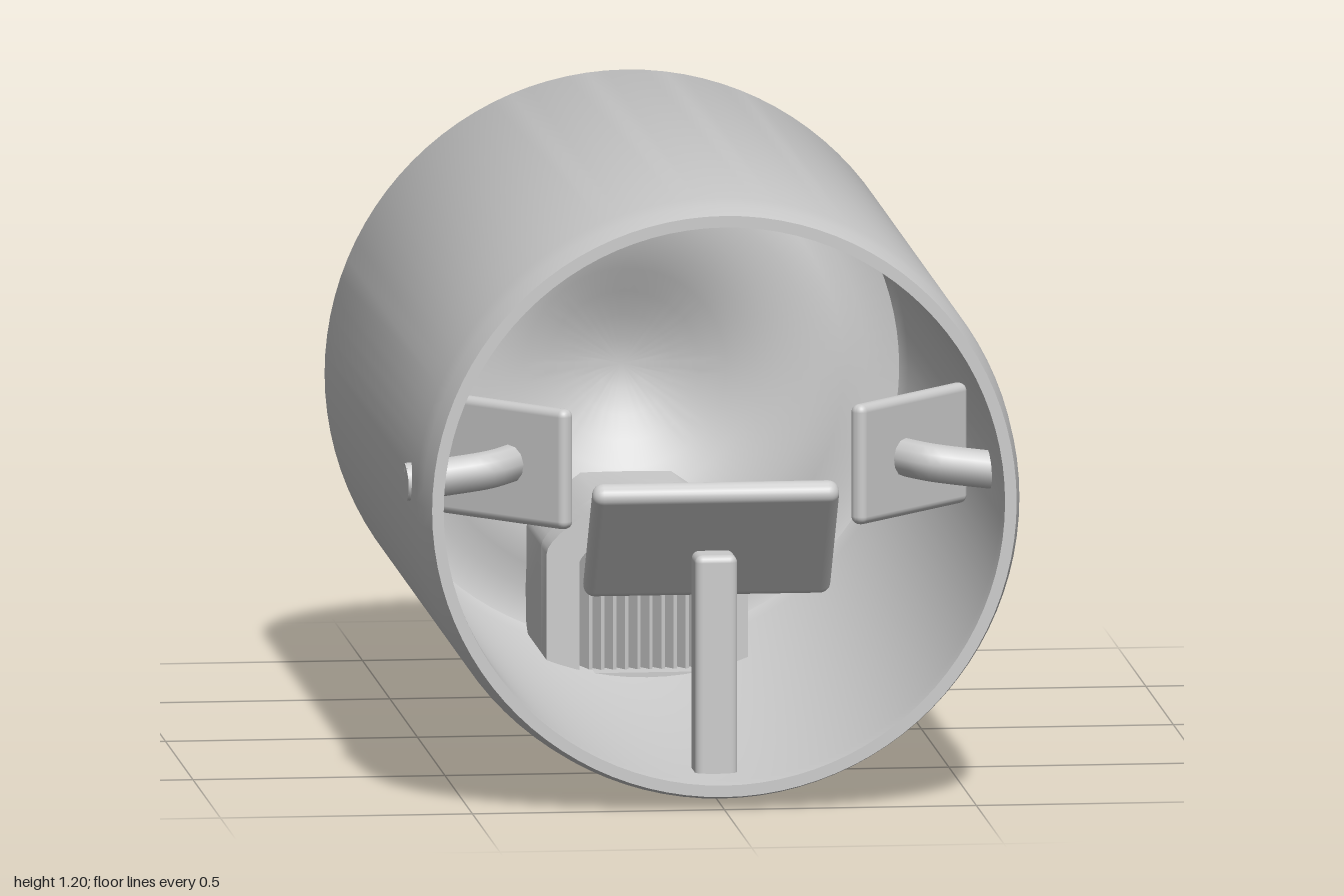
import * as THREE from 'three';
import { toCreasedNormals } from 'three/addons/utils/BufferGeometryUtils.js';
import { RoundedBoxGeometry } from 'three/addons/geometries/RoundedBoxGeometry.js';

const CY = 0.605; // height of the drum axis
const mat = new THREE.MeshStandardMaterial({ color: 0xcccccc, side: THREE.DoubleSide });

function mesh(name, geometry, x = 0, y = 0, z = 0) {
  const m = new THREE.Mesh(geometry, mat);
  m.name = name;
  m.position.set(x, y, z);
  return m;
}

// Outline of the duct: square foot, chamfered shoulders
function archPath(PathType, w, bottom, shoulder, top, topW) {
  const p = new PathType();
  p.moveTo(-w, bottom);
  p.lineTo(w, bottom);
  p.lineTo(w, shoulder);
  p.quadraticCurveTo(w, shoulder + (top - shoulder) * 0.3, topW, top);
  p.lineTo(-topW, top);
  p.quadraticCurveTo(-w, shoulder + (top - shoulder) * 0.3, -w, shoulder);
  p.closePath();
  return p;
}

function extrude(shape, z0, z1) {
  const g = new THREE.ExtrudeGeometry(shape, { depth: z1 - z0, bevelEnabled: false, curveSegments: 6 });
  g.translate(0, 0, z0);
  return toCreasedNormals(g, 0.6);
}

export function createModel() {
  const root = new THREE.Group();

  // Drum: domed back, rounded back rim, tapered mouth, hollow inside
  const dome = [[0, -0.905], [0.05, -0.9], [0.1, -0.884], [0.15, -0.862], [0.2, -0.838],
    [0.25, -0.817], [0.31, -0.803], [0.37, -0.798], [0.43, -0.802], [0.475, -0.818], [0.505, -0.832]];
  const outer = [...dome, [0.53, -0.835], [0.548, -0.825], [0.55, -0.805], [0.595, -0.805],
    [0.597, -0.8], [0.597, 0.87], [0.592, 0.94], [0.58, 1]];
  const inner = [[0.557, 1], [0.555, 0.95], [0.555, -0.74], [0.54, -0.77],
    ...dome.slice(0, 10).reverse().map(([r, z]) => [r, z + 0.035])];
  const profile = [...outer, ...inner].map(([r, z]) => new THREE.Vector2(r, z));
  const drumGeo = toCreasedNormals(new THREE.LatheGeometry(profile, 96), 0.6);
  drumGeo.rotateX(Math.PI / 2);
  root.add(mesh('drum', drumGeo, 0, CY, 0));

  // Duct through the lower back wall, with a grille on its inner mouth
  const duct = new THREE.Group();
  duct.name = 'duct';
  const arch = () => archPath(THREE.Shape, 0.2, 0.04, 0.3, 0.4, 0.09);
  const mouth = arch();
  mouth.holes.push(archPath(THREE.Path, 0.135, 0.06, 0.28, 0.312, 0.11));
  duct.add(mesh('ductMouth', extrude(mouth, -0.5, -0.4)));
  duct.add(mesh('ductBody', extrude(arch(), -1, -0.5)));
  for (let i = -5; i <= 5; i++) {
    const slat = mesh('grilleSlat', new THREE.BoxGeometry(0.008, 0.25, 0.05), i * 0.024, 0.185, -0.465);
    slat.rotation.y = 0.5;
    duct.add(slat);
  }
  root.add(duct);

  // Lower paddle: wide plate leaning forward on an upright strut
  const lower = new THREE.Group();
  lower.name = 'lowerPaddle';
  const plate = mesh('lowerPlate', new RoundedBoxGeometry(0.49, 0.3, 0.05, 3, 0.022), 0, 0.505, 0.76);
  plate.rotation.x = Math.atan2(0.2, 0.25);
  lower.add(plate);
  lower.add(mesh('lowerStrut', new RoundedBoxGeometry(0.084, 0.485, 0.085, 3, 0.015), 0, 0.2425, 0.818));
  root.add(lower);

  // Side paddles: slanted plates held by bent arms from the side walls
  for (const s of [1, -1]) {
    const side = new THREE.Group();
    side.name = s > 0 ? 'leftPaddle' : 'rightPaddle';
    const p = mesh('sidePlate', new RoundedBoxGeometry(0.37, 0.24, 0.035, 3, 0.016), s * 0.405, 0.65, 0.645);
    p.rotation.y = s * Math.atan2(0.3, 0.26);
    side.add(p);
    const path = new THREE.CatmullRomCurve3([[0.602, 0.625, 0.745], [0.52, 0.635, 0.745],
      [0.44, 0.645, 0.735], [0.38, 0.65, 0.67]].map(([x, y, z]) => new THREE.Vector3(s * x, y, z)));
    side.add(mesh('sideArm', new THREE.TubeGeometry(path, 16, 0.038, 12)));
    // Closed arm end showing on the outer wall
    const cap = mesh('armEnd', new THREE.CylinderGeometry(0.038, 0.038, 0.02, 12), s * 0.593, 0.626, 0.745);
    cap.rotation.z = Math.PI / 2;
    side.add(cap);
    root.add(side);
  }
  return root;
}
